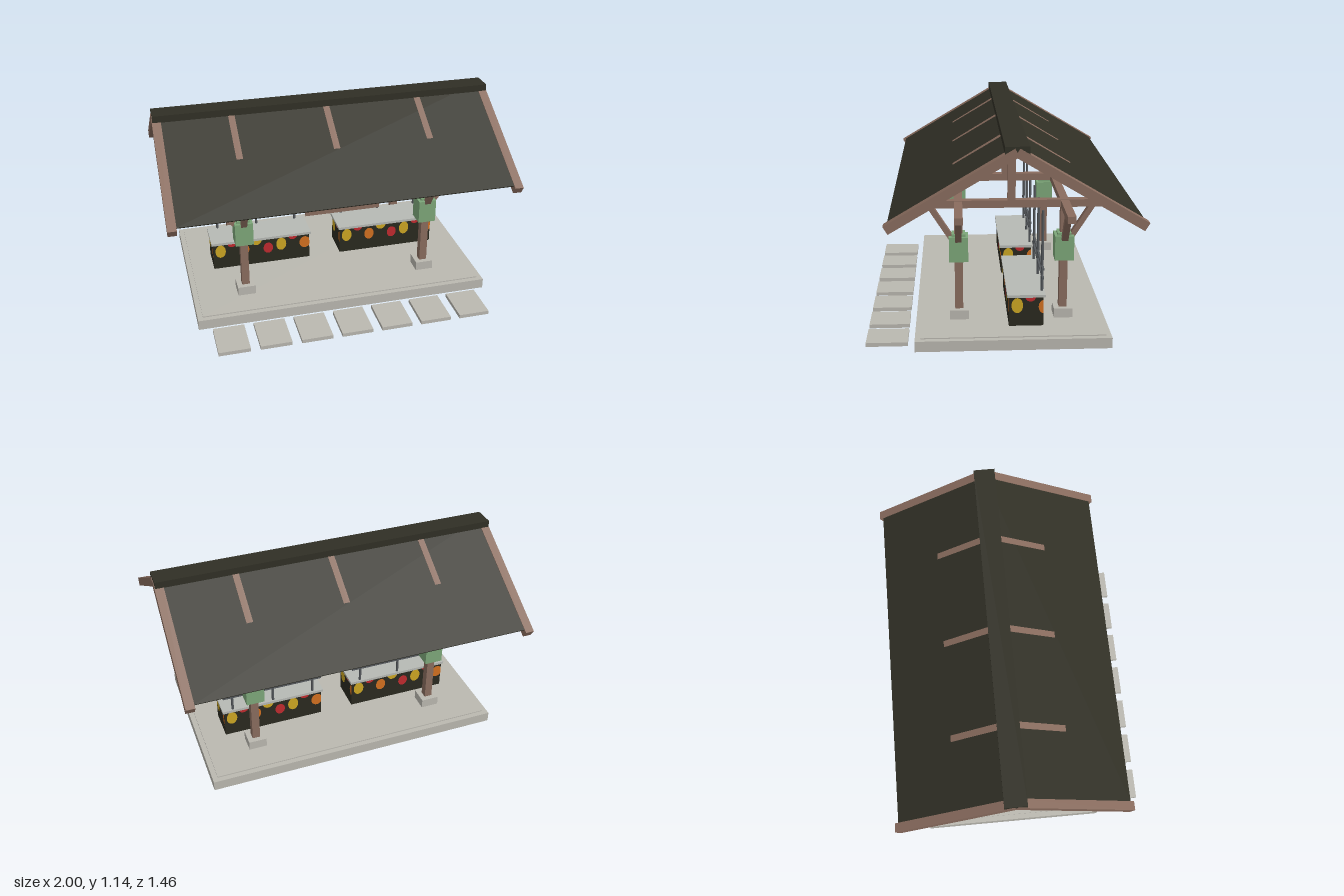
import * as THREE from 'three';

const mat = (name, color) => {
  const m = new THREE.MeshStandardMaterial({ color });
  m.name = name;
  return m;
};

export function createModel() {
  const root = new THREE.Group();
  root.name = 'marketPavilion';
  const wood = mat('brown wood', 0x896c5e);
  const roofDark = mat('dark roof', 0x302f25);
  const panelDark = mat('dark counter', 0x2a291f);
  const stone = mat('pale stone', 0xbab8b0);
  const topGrey = mat('counter top grey', 0xb6b9b4);
  const green = mat('lantern green', 0x7da779);
  const metal = mat('pole grey', 0x55595d);
  const yellow = mat('yellow', 0xcca622);
  const orange = mat('orange', 0xd27020);
  const red = mat('red', 0xc02a2e);

  // Box given by its extents on each axis
  const box = (name, m, [x0, x1], [y0, y1], [z0, z1], parent = root) => {
    const mesh = new THREE.Mesh(new THREE.BoxGeometry(x1 - x0, y1 - y0, z1 - z0), m);
    mesh.position.set((x0 + x1) / 2, (y0 + y1) / 2, (z0 + z1) / 2);
    mesh.name = name;
    parent.add(mesh);
    return mesh;
  };
  const around = (c, w) => [c - w / 2, c + w / 2];

  // Square-ended beam between two points; "thick" lies in the vertical plane
  const beam = (name, m, a, b, width, thick) => {
    const A = new THREE.Vector3(...a), B = new THREE.Vector3(...b);
    const mesh = new THREE.Mesh(new THREE.BoxGeometry(width, thick, A.distanceTo(B)), m);
    mesh.position.copy(A).add(B).multiplyScalar(0.5);
    mesh.lookAt(B);
    mesh.name = name;
    root.add(mesh);
  };

  const ridgeZ = -0.065, trussX = [-0.555, 0, 0.555], postZ = [0.225, -0.355];

  // Ground: platform and stepping stones
  box('platform', stone, [-0.87, 0.87], [0, 0.06], [-0.59, 0.465]);
  box('platformFloor', stone, [-0.84, 0.84], [0.06, 0.066], [-0.56, 0.435]);
  for (let i = -3; i <= 3; i++)
    box('steppingStone', stone, around(i * 0.235, 0.18), [0, 0.022], [0.505, 0.73]);

  // Posts with footings, lantern boxes and braces
  for (const sx of [-1, 1]) for (const z of postZ) {
    const x = sx * 0.555, sz = Math.sign(z - ridgeZ);
    box('footing', stone, around(x, 0.105), [0.06, 0.12], around(z, 0.105));
    box('post', wood, around(x, 0.045), [0.12, 0.71], around(z, 0.045));
    box('lanternBox', green, around(x, 0.105), [0.405, 0.545], around(z, 0.105));
    box('lanternCap', green, around(x, 0.075), [0.545, 0.56], around(z, 0.075));
    beam('sideBrace', wood, [x + sx * 0.05, 0.53, z], [x + sx * 0.19, 0.713, z], 0.035, 0.028);
    beam('crossBrace', wood, [x, 0.535, z + sz * 0.042], [x, 0.715, z + sz * 0.155], 0.035, 0.03);
  }

  // Long plates, tie beams, king posts and rafters
  for (const z of postZ)
    box('plateBeam', wood, [-0.875, 0.875], [0.705, 0.743], around(z, 0.045));
  for (const x of trussX) {
    box('tieBeam', wood, around(x, 0.043), [0.704, 0.746], [-0.6, 0.47]);
    box('kingPost', wood, around(x, 0.043), [0.745, 1.09], around(ridgeZ, 0.043));
  }
  for (const s of [-1, 1]) {
    for (const x of trussX)
      beam('rafter', wood, [x, 1.112, ridgeZ], [x, 0.748, ridgeZ + s * 0.6], 0.037, 0.045);
    for (const x of [-0.975, 0.975])
      beam('bargeBoard', wood, [x, 1.11, ridgeZ], [x, 0.723, ridgeZ + s * 0.652], 0.05, 0.048);
    // Thin roof slope just under the top of the barge boards
    beam('roofSlope', roofDark, [0, 1.129, ridgeZ], [0, 0.749, ridgeZ + s * 0.642], 1.91, 0.008);
  }
  box('ridgeCap', roofDark, [-0.997, 0.997], [1.1, 1.14], around(ridgeZ, 0.122));

  // Blank hanging board at the front
  box('hangingBoard', wood, [-0.217, 0.217], [0.607, 0.775], around(0.371, 0.012));

  // Painted spots: distance from the left edge, height, radii, colour
  const spots = [
    [0.045, 0.186, 0.032, 0.044, yellow], [0.118, 0.233, 0.028, 0.024, red],
    [0.193, 0.178, 0.031, 0.04, orange], [0.27, 0.238, 0.034, 0.038, yellow],
    [0.343, 0.17, 0.03, 0.037, red], [0.426, 0.186, 0.032, 0.044, yellow],
    [0.5, 0.233, 0.028, 0.024, red], [0.577, 0.178, 0.035, 0.04, orange],
  ];
  const addSpots = (parent, width, x, z, turn) => {
    const face = new THREE.Group();
    face.name = 'spottedFace';
    for (const [u, v, rx, ry, m] of spots) {
      if (u - rx >= width) continue;
      const pts = [];
      for (let i = 0; i < 28; i++) {
        const a = (i / 28) * Math.PI * 2;
        pts.push(new THREE.Vector2(
          Math.min(u + rx * Math.cos(a), width) - width / 2,
          Math.min(v + ry * Math.sin(a), 0.234)));
      }
      const mesh = new THREE.Mesh(new THREE.ShapeGeometry(new THREE.Shape(pts)), m);
      mesh.name = 'spot';
      face.add(mesh);
    }
    face.position.set(x, 0, z);
    face.rotation.y = turn;
    parent.add(face);
  };

  // Two counters, each with a pole and rail rack along the back
  for (const cx of [-0.403, 0.403]) {
    const g = new THREE.Group();
    g.name = 'counter';
    root.add(g);
    const w = 0.606, z0 = -0.234, z1 = -0.045, d = z1 - z0, zc = (z0 + z1) / 2, e = 0.002;
    box('counterBody', panelDark, around(cx, w), [0.066, 0.234], [z0, z1], g);
    box('counterTop', topGrey, around(cx, 0.625), [0.234, 0.25], [z0 - 0.01, z1 + 0.01], g);
    addSpots(g, w, cx, z1 + e, 0);
    addSpots(g, w, cx, z0 - e, Math.PI);
    addSpots(g, d, cx + w / 2 + e, zc, Math.PI / 2);
    addSpots(g, d, cx - w / 2 - e, zc, -Math.PI / 2);
    for (const dx of [-0.248, 0, 0.248]) {
      const pole = new THREE.Mesh(new THREE.CylinderGeometry(0.0075, 0.0075, 0.46, 10), metal);
      pole.position.set(cx + dx, 0.48, -0.229);
      pole.name = 'pole';
      g.add(pole);
    }
    for (const y of [0.34, 0.393])
      box('rail', metal, around(cx, w), around(y, 0.012), around(-0.229, 0.012), g);
  }
  return root;
}
